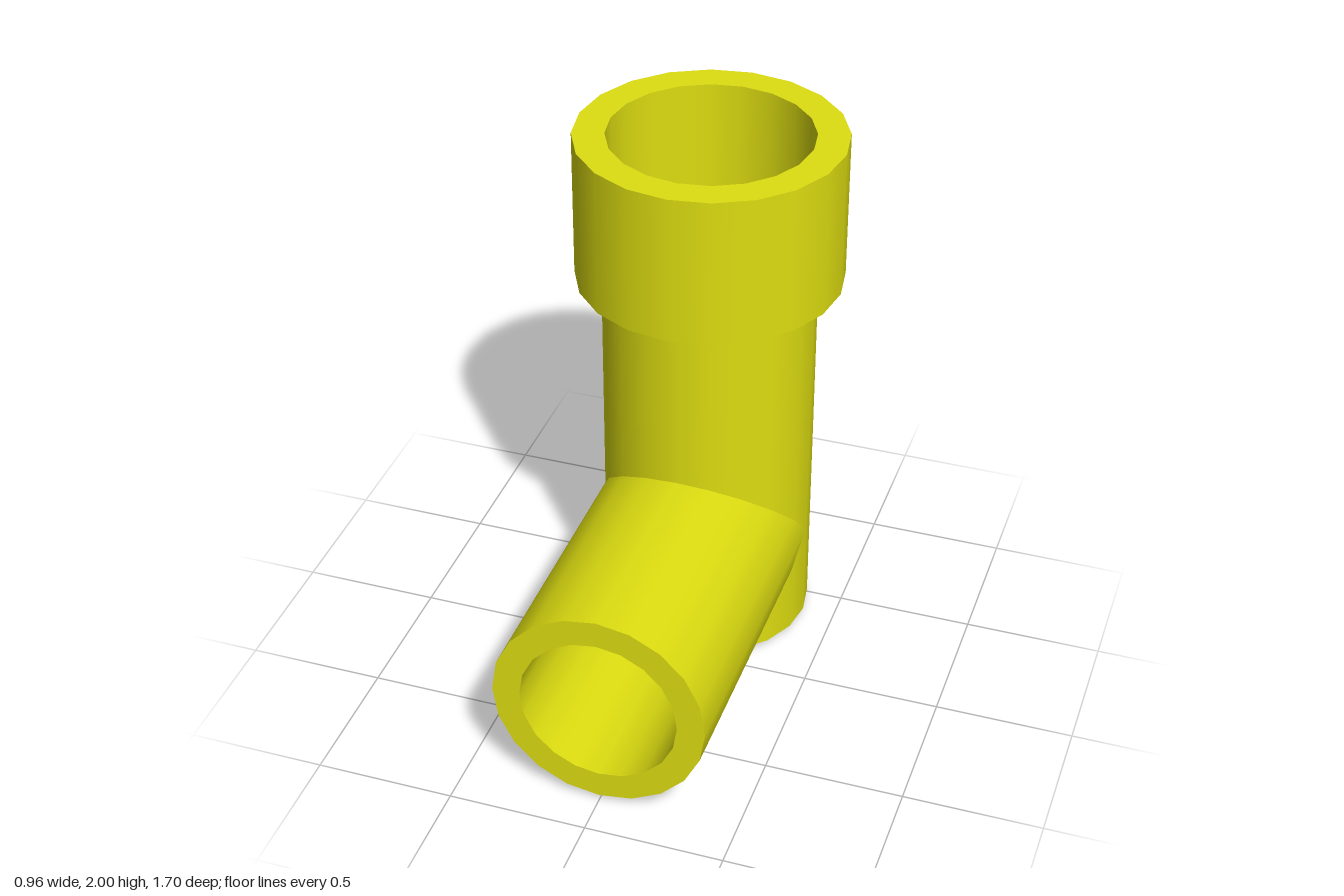
import * as THREE from 'three';

const SIDES = 20;
const R = 0.385, BORE = 0.285;      // outer and inner pipe radius
const AXIS_Z = -0.37, AXIS_Y = 0.405; // upright pipe's z, side pipe's y
const FRONT = 0.85, NECK = 1.39, RIM = 0.02;

// Round wall about y whose lower and upper edges depend on the angle
function wall(r, lo, hi, from, to, inward) {
  const pos = [], nor = [], idx = [], s = inward ? -1 : 1;
  for (let i = from; i <= to; i++) {
    const a = (i / SIDES) * Math.PI * 2, c = Math.cos(a), n = Math.sin(a);
    for (const h of [lo(n), hi(n)]) {
      pos.push(r * c, h, r * n);
      nor.push(s * c, 0, s * n);
    }
    if (i < to) {
      const k = (i - from) * 2;
      if (inward) idx.push(k, k + 2, k + 1, k + 1, k + 2, k + 3);
      else idx.push(k, k + 1, k + 2, k + 1, k + 3, k + 2);
    }
  }
  const g = new THREE.BufferGeometry();
  g.setAttribute('position', new THREE.Float32BufferAttribute(pos, 3));
  g.setAttribute('normal', new THREE.Float32BufferAttribute(nor, 3));
  g.setIndex(idx);
  return g;
}

export function createModel() {
  const model = new THREE.Group();
  const material = new THREE.MeshStandardMaterial({ color: 0xdddd11 });
  const upright = new THREE.Group();
  upright.name = 'uprightPipe';
  upright.position.z = AXIS_Z;
  const side = new THREE.Group();
  side.name = 'sidePipe';
  side.position.y = AXIS_Y;
  side.rotation.x = Math.PI / 2;
  model.add(upright, side);

  const add = (parent, name, geometry) => {
    const mesh = new THREE.Mesh(geometry, material);
    mesh.name = name;
    parent.add(mesh);
  };
  // One lathe per profile segment keeps the edges between them sharp
  const turn = (parent, name, profile) => {
    for (let i = 1; i < profile.length; i++) {
      const pts = [profile[i - 1], profile[i]].map(p => new THREE.Vector2(...p));
      add(parent, name, new THREE.LatheGeometry(pts, SIDES));
    }
  };

  const half = SIDES / 2, at = v => () => v;
  for (const [r, base, inward, label] of [[R, RIM, false, 'outer'], [BORE, AXIS_Y - BORE, true, 'inner']]) {
    // Upright wall: full at the back, opened at the front for the side pipe
    add(upright, label + 'BackWall', wall(r, at(base), at(NECK), half, SIDES, inward));
    add(upright, label + 'WallBelowBranch', wall(r, at(base), n => AXIS_Y - r * Math.abs(n), 0, half, inward));
    add(upright, label + 'WallAboveBranch', wall(r, n => AXIS_Y + r * Math.abs(n), at(NECK), 0, half, inward));
    // Side pipe, mitred to the upright
    add(side, label + 'SideWall', wall(r, n => AXIS_Z + r * Math.abs(n), at(FRONT), 0, SIDES, inward));
  }

  turn(side, 'sidePipeRim', [[R, FRONT], [BORE, FRONT]]);
  turn(upright, 'bottomCap', [[0, 0], [R, RIM]]);
  turn(upright, 'boreFloor', [[BORE, AXIS_Y - BORE], [0, AXIS_Y - BORE]]);
  // Widened socket with tapered shoulder outside and in
  turn(upright, 'socket', [[R, NECK], [0.48, 1.45], [0.48, 2], [0.365, 2], [0.365, 1.45], [BORE, NECK]]);
  return model;
}
